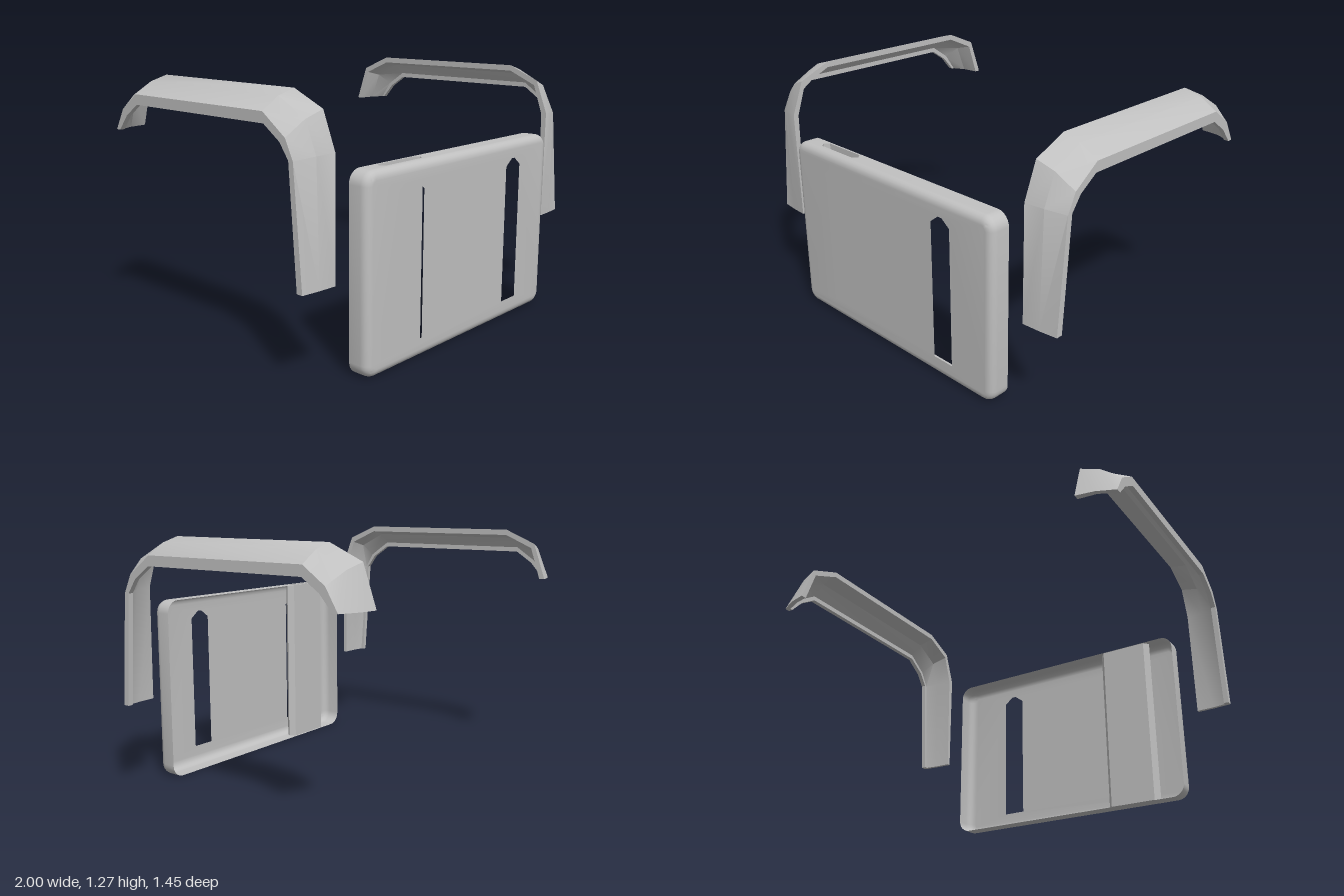
import * as THREE from 'three';
import { mergeGeometries, toCreasedNormals } from 'three/addons/utils/BufferGeometryUtils.js';

// Skin a list of cross-sections; each ring is an array of [x, y, z]
function loft(rings, closed, caps = []) {
  const n = rings[0].length;
  const index = [];
  const quad = (a, b, c, d) => index.push(a, b, c, a, c, d);
  for (let i = 0; i < rings.length - 1; i++) {
    for (let j = 0; j < (closed ? n : n - 1); j++) {
      const k = (j + 1) % n;
      quad(i * n + j, i * n + k, (i + 1) * n + k, (i + 1) * n + j);
    }
  }
  const last = (rings.length - 1) * n;
  for (const [a, b, c, d] of caps) {
    quad(a, d, c, b);
    quad(last + a, last + b, last + c, last + d);
  }
  const geo = new THREE.BufferGeometry();
  geo.setAttribute('position', new THREE.Float32BufferAttribute(rings.flat(2), 3));
  geo.setIndex(index);
  return geo;
}

// Position-only, unindexed copy, ready for merging
function bare(geo) {
  const g = geo.index ? geo.toNonIndexed() : geo;
  for (const name of Object.keys(g.attributes)) if (name !== 'position') g.deleteAttribute(name);
  return g;
}

const points = (list) => list.map(([x, y]) => new THREE.Vector2(x, y));

// Plate dimensions
const HALF_W = 0.71, HEIGHT = 0.93, CORNER = 0.065, BEVEL = 0.04;
const FRONT = 0.728, BACK = 0.623;
const POCKET_X = -0.415, POCKET_Z = 0.657;

// Rounded rectangle, clockwise from the top right corner
function plateRing(inset, z) {
  const ring = [], cx = HALF_W - CORNER, top = HEIGHT - CORNER;
  [[cx, top, 90], [cx, CORNER, 0], [-cx, CORNER, -90], [-cx, top, -180]].forEach(([x, y, start]) => {
    for (let i = 0; i <= 6; i++) {
      const a = THREE.MathUtils.degToRad(start - i * 15), r = CORNER - inset;
      ring.push([x + r * Math.cos(a), y + r * Math.sin(a), z]);
    }
  });
  return ring;
}

// Flattened hexagon of the pocket, drawn in x and -z
function pocketOutline(d) {
  const wide = 0.15 - d, narrow = 0.125 - d * 0.6, h = 0.03 - d;
  return points([[wide, 0], [narrow, h], [-narrow, h], [-wide, 0], [-narrow, -h], [narrow, -h]]
    .map(([x, y]) => [x + POCKET_X, y - POCKET_Z]));
}

function plateGeometry() {
  // Rounded front edge
  const bevelRings = [];
  for (let i = 0; i <= 5; i++) {
    const a = (i / 5) * Math.PI / 2;
    bevelRings.push(plateRing(BEVEL * (1 - Math.sin(a)), FRONT - BEVEL * (1 - Math.cos(a))));
  }
  // Side and bottom walls; the top wall is separate
  const wall = loft([plateRing(0, FRONT - BEVEL), plateRing(0, BACK)], false);

  // Front face with two pointed slots
  const face = new THREE.Shape(points(plateRing(BEVEL, 0)));
  for (const x of [-0.39, 0.39]) {
    face.holes.push(new THREE.Path(points([
      [x - 0.06, 0.095], [x + 0.06, 0.095], [x + 0.06, 0.805],
      [x + 0.012, 0.842], [x - 0.012, 0.842], [x - 0.06, 0.805],
    ])));
  }
  const faceGeo = new THREE.ShapeGeometry(face).translate(0, 0, FRONT);

  // Top wall with the pocket opening
  const w = HALF_W - CORNER;
  const topWall = new THREE.Shape(points([[-w, -FRONT + BEVEL], [w, -FRONT + BEVEL], [w, -BACK], [-w, -BACK]]));
  topWall.holes.push(new THREE.Path(pocketOutline(0)));
  const topGeo = new THREE.ShapeGeometry(topWall).rotateX(-Math.PI / 2).translate(0, HEIGHT, 0);

  return toCreasedNormals(mergeGeometries([loft(bevelRings, true), wall, faceGeo, topGeo].map(bare)), 0.6);
}

// Hexagonal sleeve running down behind the plate
function pocketGeometry() {
  const shape = new THREE.Shape(pocketOutline(0));
  shape.holes.push(new THREE.Path(pocketOutline(0.006)));
  return new THREE.ExtrudeGeometry(shape, { depth: HEIGHT - 0.003, bevelEnabled: false })
    .rotateX(-Math.PI / 2).translate(0, 0.003, 0);
}

// Hollow strap: [z, y] of the inner top edge, outer crease and lower edge
const STRAP = [
  [[0.65, 0.45], [0.635, 0.45], [0.603, 0.45]],
  [[0.652, 1.02], [0.592, 1.0], [0.565, 1.0]],
  [[0.585, 1.192], [0.548, 1.09], [0.515, 1.07]],
  [[0.415, 1.266], [0.415, 1.185], [0.42, 1.135]],
  [[-0.49, 1.266], [-0.49, 1.185], [-0.485, 1.135]],
  [[-0.66, 1.192], [-0.605, 1.105], [-0.575, 1.075]],
  [[-0.727, 1.0], [-0.668, 1.0], [-0.64, 1.0]],
];

function strapGeometry() {
  const mix = (p, q, t) => [p[0] + (q[0] - p[0]) * t, p[1] + (q[1] - p[1]) * t];
  const rings = STRAP.map(([a, b, c]) => {
    const length = Math.hypot(a[0] - c[0], a[1] - c[1]);
    const t = Math.min(0.4, 0.03 / length);
    const mid = mix(a, b, 0.32);
    const at = (x, [z, y]) => [x, y, z];
    return [
      at(0.82, a), at(0.91, mid), at(1, b), at(1, c),
      at(0.975, c), at(0.975, mix(b, c, 0.5)), at(0.91, mix(mid, c, t)), at(0.82, mix(a, c, t)),
    ];
  });
  const geo = loft(rings, true, [[0, 1, 6, 7], [1, 2, 5, 6], [2, 3, 4, 5]]);
  return toCreasedNormals(bare(geo), 0.45);
}

export function createModel() {
  const group = new THREE.Group();
  const grey = new THREE.MeshStandardMaterial({ color: 0xc0c0c0, side: THREE.DoubleSide });
  grey.name = 'grey';
  const add = (name, geo) => {
    const mesh = new THREE.Mesh(geo, grey);
    mesh.name = name;
    group.add(mesh);
    return mesh;
  };

  add('frontPlate', plateGeometry());
  add('pocketSleeve', pocketGeometry());

  // Shoulder straps, mirrored
  const strap = strapGeometry();
  add('leftShoulderStrap', strap);
  add('rightShoulderStrap', strap).scale.x = -1;

  return group;
}
